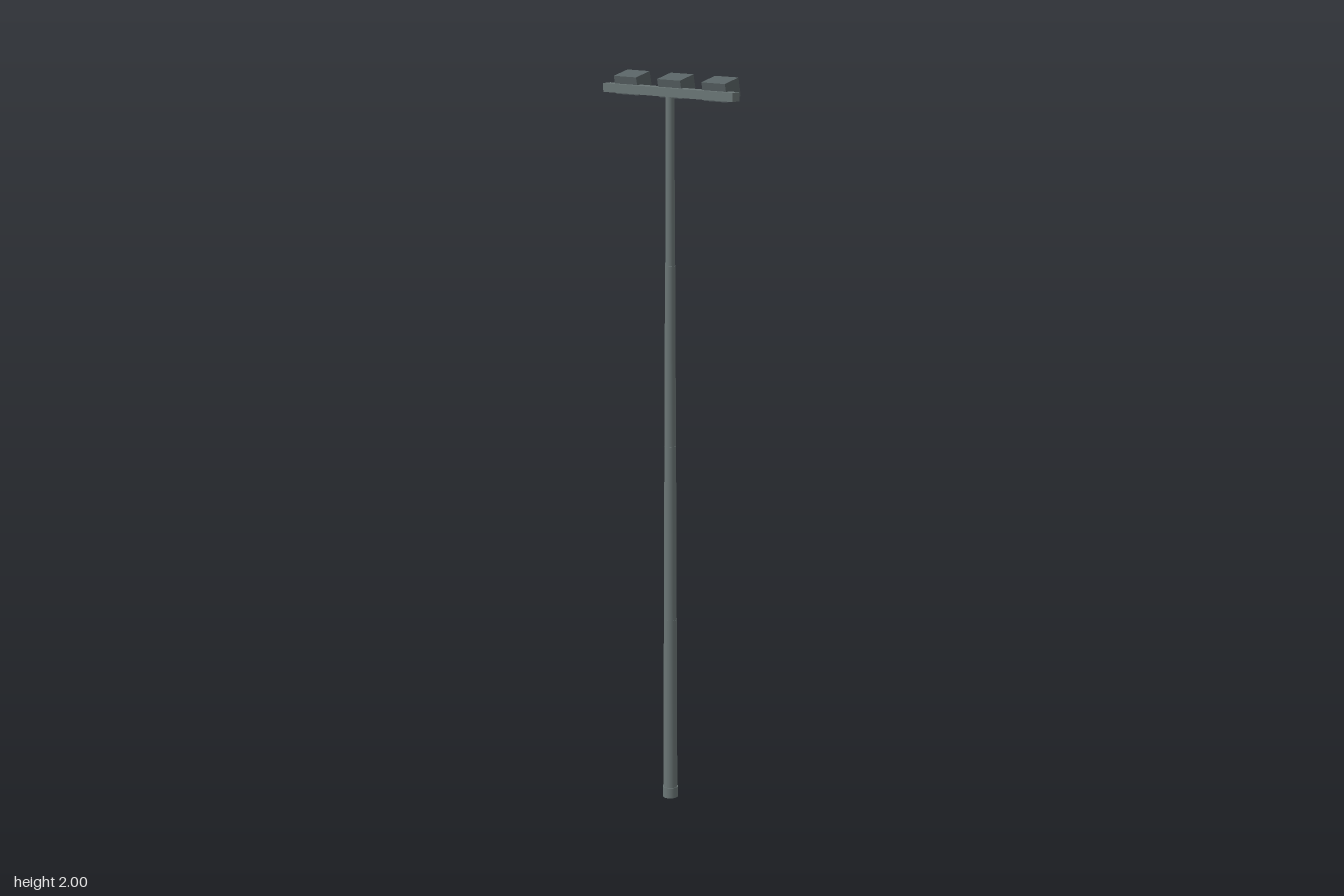
import * as THREE from 'three';

const mat = (color) => new THREE.MeshStandardMaterial({ color });

export function createModel() {
  const model = new THREE.Group();
  model.name = 'floodlightMast';
  const steel = mat(0x6b7676);
  const housing = mat(0x596365);
  const glass = mat(0xcfdcd8);
  const poleX = -0.02;

  const add = (parent, name, geometry, material, x, y, z) => {
    const mesh = new THREE.Mesh(geometry, material);
    mesh.name = name;
    mesh.position.set(x, y, z);
    parent.add(mesh);
    return mesh;
  };

  // Pole: base collar, then four slightly tapering sections
  const sections = [
    ['baseCollar', 0, 0.03, 0.0215, 0.0215],
    ['poleSection1', 0.03, 0.52, 0.0195, 0.018],
    ['poleSection2', 0.52, 1.01, 0.0175, 0.016],
    ['poleSection3', 1.01, 1.5, 0.0155, 0.014],
    ['poleSection4', 1.5, 1.955, 0.013, 0.0115],
  ];
  for (const [name, y0, y1, r0, r1] of sections) {
    add(model, name, new THREE.CylinderGeometry(r1, r0, y1 - y0, 16), steel, poleX, (y0 + y1) / 2, 0);
  }

  // Crossbar carrying the lamps
  add(model, 'crossbar', new THREE.BoxGeometry(0.029, 0.023, 0.43), steel, poleX, 1.956, 0);

  // Three lamps facing +x, tipped slightly upwards
  for (const z of [-0.147, 0, 0.146]) {
    const lamp = new THREE.Group();
    lamp.name = 'lamp';
    lamp.position.set(0.007, 1.97, z);
    lamp.rotation.z = 0.22;
    add(lamp, 'lampHousing', new THREE.BoxGeometry(0.058, 0.049, 0.076), housing, 0, 0, 0);
    add(lamp, 'lampGlass', new THREE.BoxGeometry(0.004, 0.037, 0.066), glass, 0.029, -0.003, 0);
    model.add(lamp);
  }

  return model;
}
